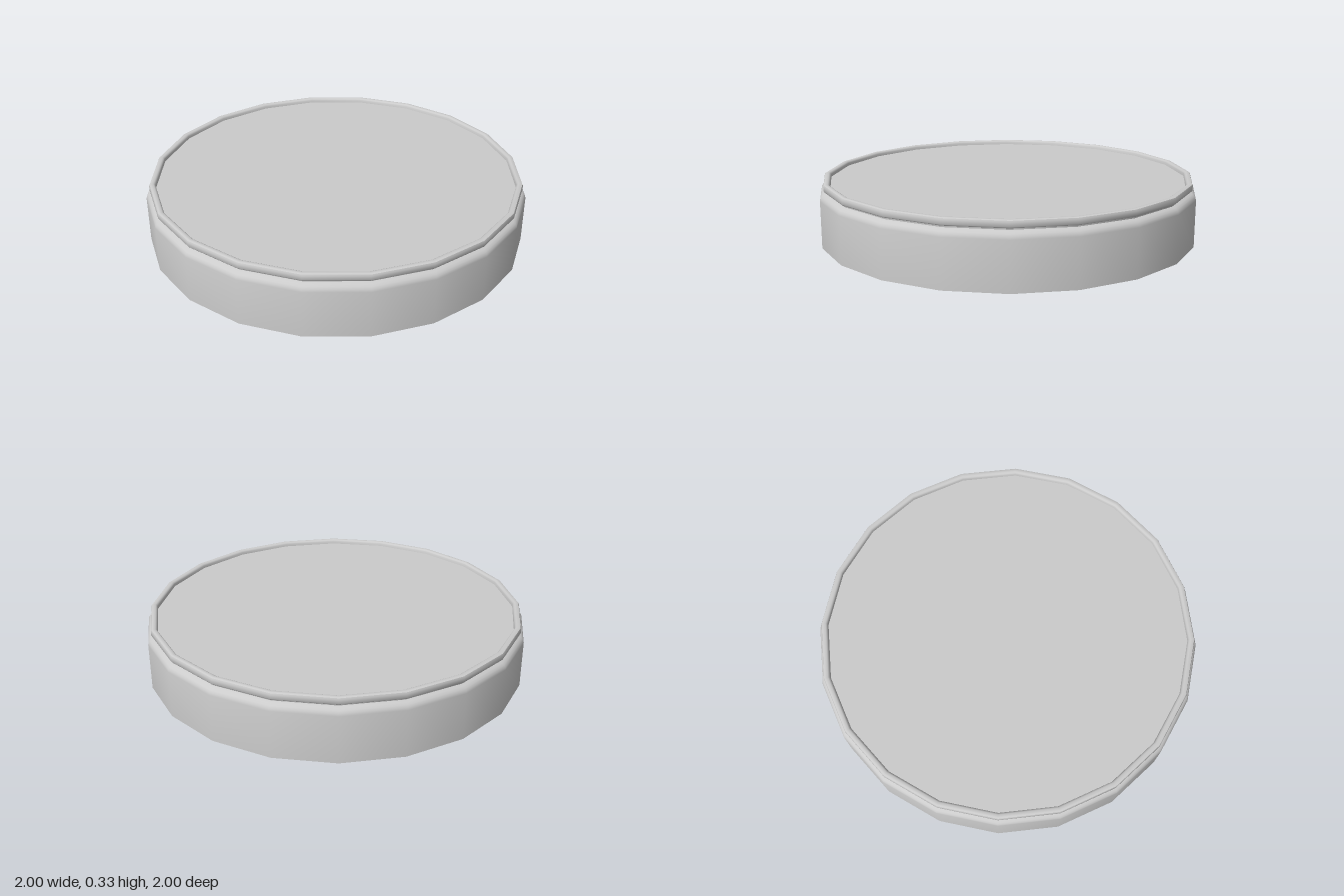
import * as THREE from 'three';
import { toCreasedNormals } from 'three/addons/utils/BufferGeometryUtils.js';

const SIDES = 20;

// Revolve a [radius, height] profile, keeping sharp edges crisp
function turned(name, profile, material) {
  const points = profile.map(([r, y]) => new THREE.Vector2(r, y));
  const geometry = toCreasedNormals(new THREE.LatheGeometry(points, SIDES), 0.7);
  const mesh = new THREE.Mesh(geometry, material);
  mesh.name = name;
  return mesh;
}

export function createModel() {
  const group = new THREE.Group();
  group.name = 'roundLid';
  const grey = new THREE.MeshStandardMaterial({ color: 0xcccccc, side: THREE.DoubleSide });

  // Closed base, straight wall and rounded shoulder
  group.add(turned('body', [
    [0, 0], [1, 0], [1, 0.247], [0.997, 0.26], [0.99, 0.27], [0.98, 0.278], [0.965, 0.283],
  ], grey));

  // Narrow neck, raised lip and its inner wall
  group.add(turned('rim', [
    [0.965, 0.283], [0.966, 0.29], [0.976, 0.293], [0.98, 0.299], [0.98, 0.32], [0.977, 0.327],
    [0.97, 0.33], [0.957, 0.33], [0.95, 0.326], [0.947, 0.32], [0.945, 0.307],
  ], grey));

  // Flat recessed top panel
  group.add(turned('topPanel', [[0.945, 0.307], [0, 0.307]], grey));

  return group;
}
